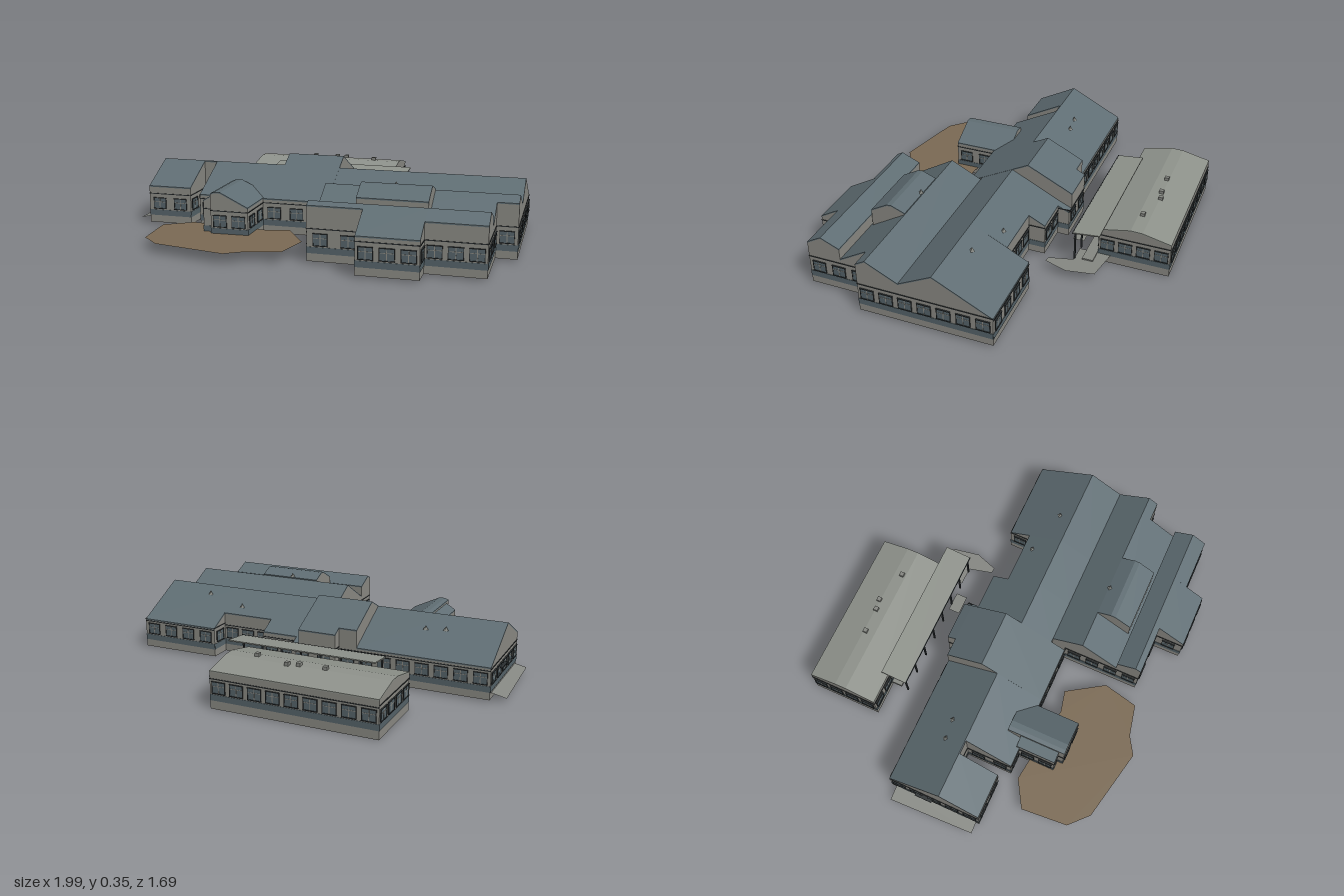
import * as THREE from 'three';
import { mergeGeometries } from 'three/addons/utils/BufferGeometryUtils.js';

const mat = (name, color, side = THREE.FrontSide) => {
  const m = new THREE.MeshStandardMaterial({ color, side });
  m.name = name;
  return m;
};

export function createModel() {
  const model = new THREE.Group();
  const wall = mat('wall grey', 0x8b8a84);
  const slate = mat('slate roof', 0x606e74);
  const paleRoof = mat('pale roof', 0x8f938c);
  const glass = mat('window glass', 0x56646a);
  const dark = mat('dark trim', 0x2c3133);
  const paving = mat('paving grey', 0x868883, THREE.DoubleSide);
  const earth = mat('earth brown', 0x7b6a54, THREE.DoubleSide);
  const under = mat('floor underside', 0x686762);

  const add = (name, geometry, material, parent = model) => {
    const m = new THREE.Mesh(geometry, material);
    m.name = name;
    parent.add(m);
    return m;
  };
  const box = (w, h, d, x, y, z) => new THREE.BoxGeometry(w, h, d).translate(x, y, z);

  // Extrudes a section of [across, y] points; runs along x, or along z when alongZ is set
  const prism = (pts, from, to, alongZ) => {
    const s = new THREE.Shape(pts.map(([a, y]) => new THREE.Vector2(alongZ ? a : -a, y)));
    const g = new THREE.ExtrudeGeometry(s, { depth: to - from, bevelEnabled: false });
    return alongZ ? g.translate(0, 0, from) : g.rotateY(Math.PI / 2).translate(from, 0, 0);
  };

  // A wing: wall body under the roof line, with a thin roof sheet following that line
  const T = 0.006;
  const wing = (name, from, to, line, { base = 0.01, roof = slate, alongZ = false } = {}) => {
    const g = new THREE.Group();
    g.name = name;
    const low = line.map(([a, y]) => [a, y - T]);
    const n = line.length - 1;
    add('walls', prism([[line[0][0], base], ...low, [line[n][0], base]], from, to, alongZ), wall, g);
    add('roof', prism([...line, ...low.slice().reverse()], from, to, alongZ), roof, g);
    model.add(g);
  };

  // West range and tall hall
  const ridge = [0.04, 0.31];
  wing('westEnd', -0.925, -0.695, [[-0.24, 0.17], ridge, [0.245, 0.203]]);
  wing('westRecess', -0.695, -0.625, [[-0.24, 0.17], ridge, [0.045, 0.308]]);
  wing('westRange', -0.625, -0.25, [[-0.24, 0.17], ridge, [0.285, 0.184]]);
  wing('tallHall', -0.25, 0.045, [[-0.24, 0.26], [-0.045, 0.355], [0.285, 0.184]]);
  wing('tallHallBay', -0.155, 0.045, [[-0.285, 0.237], [-0.24, 0.26]]);
  wing('hallAnnex', 0.045, 0.085, [[-0.285, 0.152], [-0.225, 0.178]]);

  // East range
  wing('eastRangeInner', 0.045, 0.275, [[-0.225, 0.178], ridge, [0.21, 0.222]]);
  wing('eastRangeMiddle', 0.275, 0.555, [[-0.14, 0.22], ridge, [0.21, 0.222]]);
  wing('eastRangeOuter', 0.555, 0.985, [[-0.25, 0.163], ridge, [0.21, 0.222]]);

  // Middle gable, raised monitor and front gable
  wing('middleRange', 0.065, 0.885, [[0.21, 0.222], [0.37, 0.302], [0.565, 0.187]]);
  wing('middleRangeEnd', 0.885, 0.985, [[0.21, 0.222], [0.37, 0.302], [0.42, 0.273]]);
  wing('roofMonitor', 0.26, 0.595, [[0.37, 0.308], [0.44, 0.336], [0.465, 0.334], [0.552, 0.286]], { base: 0.18 });
  const front = [[0.565, 0.245], [0.66, 0.286]];
  wing('frontRangeInner', 0.065, 0.325, [...front, [0.69, 0.27]]);
  wing('frontRangeBay', 0.325, 0.61, [...front, [0.835, 0.187]]);
  wing('frontRangeOuter', 0.61, 0.885, [...front, [0.735, 0.244]]);

  // Entrance porch
  wing('porchSide', 0.27, 0.475, [[-0.525, 0.205], [-0.475, 0.235]], { alongZ: true });
  wing('porch', 0.2, 0.505, [[-0.475, 0.248], [-0.455, 0.255], [-0.425, 0.255], [-0.285, 0.187]], { alongZ: true });

  // Detached rear block
  wing('rearBlock', -0.615, 0.215, [[-0.845, 0.185], [-0.7, 0.217], [-0.64, 0.219], [-0.485, 0.187]],
    { base: 0, roof: paleRoof });

  // Bands, ledges and windows along each outline
  const bits = { band: [], glass: [], frame: [], mullion: [] };
  const facade = (outline, drop) => outline.forEach(([x0, z0], i) => {
    const [x1, z1] = outline[(i + 1) % outline.length];
    const len = Math.hypot(x1 - x0, z1 - z0);
    const nx = -(z1 - z0) / len, nz = (x1 - x0) / len;
    const turn = Math.atan2(nx, nz);
    const put = (list, w, h, d, u, y) => list.push(
      box(w, h, d, u, y - drop, 0).rotateY(turn).translate((x0 + x1) / 2, 0, (z0 + z1) / 2));
    put(bits.band, len, 0.03, 0.004, 0, 0.063);
    put(bits.frame, len, 0.004, 0.006, 0, nz < -0.5 ? 0.153 : 0.163);
    const n = Math.floor(len / 0.09);
    for (let k = 0; k < n; k++) {
      const u = ((k + 0.5) / n - 0.5) * len;
      put(bits.glass, 0.064, 0.054, 0.006, u, 0.113);
      for (const s of [-1, 1]) {
        put(bits.frame, 0.07, 0.003, 0.014, u, 0.113 + s * 0.028);
        put(bits.frame, 0.003, 0.056, 0.01, u + s * 0.033, 0.113);
      }
      put(bits.mullion, 0.004, 0.054, 0.008, u, 0.113);
      put(bits.mullion, 0.064, 0.003, 0.008, u, 0.12);
    }
  });
  facade([
    [-0.925, 0.245], [-0.695, 0.245], [-0.695, 0.045], [-0.625, 0.045], [-0.625, 0.285], [-0.525, 0.285],
    [-0.525, 0.475], [-0.475, 0.475], [-0.475, 0.505], [-0.285, 0.505], [-0.285, 0.285], [0.065, 0.285],
    [0.065, 0.69], [0.325, 0.69], [0.325, 0.835], [0.61, 0.835], [0.61, 0.735], [0.885, 0.735],
    [0.885, 0.42], [0.985, 0.42], [0.985, -0.25], [0.555, -0.25], [0.555, -0.14], [0.275, -0.14],
    [0.275, -0.225], [0.085, -0.225], [0.085, -0.285], [-0.155, -0.285], [-0.155, -0.24], [-0.925, -0.24],
  ], 0);
  facade([[-0.615, -0.485], [0.215, -0.485], [0.215, -0.845], [-0.615, -0.845]], 0.006);
  add('wallBands', mergeGeometries(bits.band), glass);
  add('windowPanes', mergeGeometries(bits.glass), glass);
  add('windowFrames', mergeGeometries(bits.frame), dark);
  add('windowBars', mergeGeometries(bits.mullion), wall);

  // Rear veranda: sloping canopy, posts and step
  add('verandaCanopy', prism([[-0.515, 0.217], [-0.38, 0.203], [-0.38, 0.197], [-0.515, 0.211]], -0.46, 0.31), paleRoof);
  add('verandaEdge', box(0.77, 0.008, 0.004, -0.075, 0.2, -0.38), dark);
  for (let i = 0; i < 8; i++) {
    add('verandaPost', box(0.008, 0.165, 0.008, -0.445 + i * 0.106, 0.118, -0.39), dark);
  }
  add('verandaDeck', box(0.74, 0.02, 0.055, -0.075, 0.042, -0.455), paving);

  // Flat ground pieces from plan outlines, tilted slightly along x
  const ground = (name, pts, material, y, tilt = 0) => {
    const g = new THREE.ShapeGeometry(new THREE.Shape(pts.map(([x, z]) => new THREE.Vector2(x, -z))));
    g.rotateX(-Math.PI / 2);
    const p = g.attributes.position;
    for (let i = 0; i < p.count; i++) p.setY(i, y + tilt * p.getX(i));
    g.computeVertexNormals();
    add(name, g, material);
  };
  ground('frontGarden', [[-0.775, 0.41], [-0.64, 0.33], [-0.53, 0.345], [-0.23, 0.39], [-0.12, 0.365], [0, 0.55],
    [-0.04, 0.73], [-0.2, 0.765], [-0.29, 0.82], [-0.66, 0.74], [-0.755, 0.65]], earth, 0.055, 0.01);
  ground('rearPath', [[0.215, -0.55], [0.385, -0.52], [0.41, -0.38], [0.37, -0.265], [0.34, -0.27], [0.31, -0.39],
    [0.215, -0.39]], paving, 0.045);
  ground('rearStep', [[0.05, -0.39], [0.15, -0.39], [0.15, -0.33], [0.05, -0.33]], paving, 0.045);
  ground('westPath', [[-1, -0.215], [-0.92, -0.215], [-0.92, 0.23], [-0.985, 0.23]], paving, 0.247, 0.225);

  // West door hood
  add('westHood', box(0.02, 0.006, 0.09, -0.934, 0.125, -0.05), dark);

  // Underside sheets
  add('rearFloor', box(0.83, 0.002, 0.36, -0.2, 0.001, -0.665), under);

  // Roof vents: square stacks at the rear, small pyramids on the main roofs
  for (const [x, z, y] of [[-0.295, -0.69, 0.219], [-0.165, -0.695, 0.219], [-0.11, -0.705, 0.217], [0.065, -0.66, 0.22]]) {
    add('rearVent', box(0.022, 0.02, 0.022, x, y + 0.004, z), paving);
  }
  for (const [x, z, y] of [[-0.645, -0.06, 0.262], [-0.545, -0.07, 0.257], [0.475, -0.09, 0.247], [0.705, -0.03, 0.277], [0.41, 0.375, 0.312]]) {
    add('roofVent', new THREE.ConeGeometry(0.014, 0.022, 4).translate(x, y + 0.009, z), paving);
  }
  return model;
}
